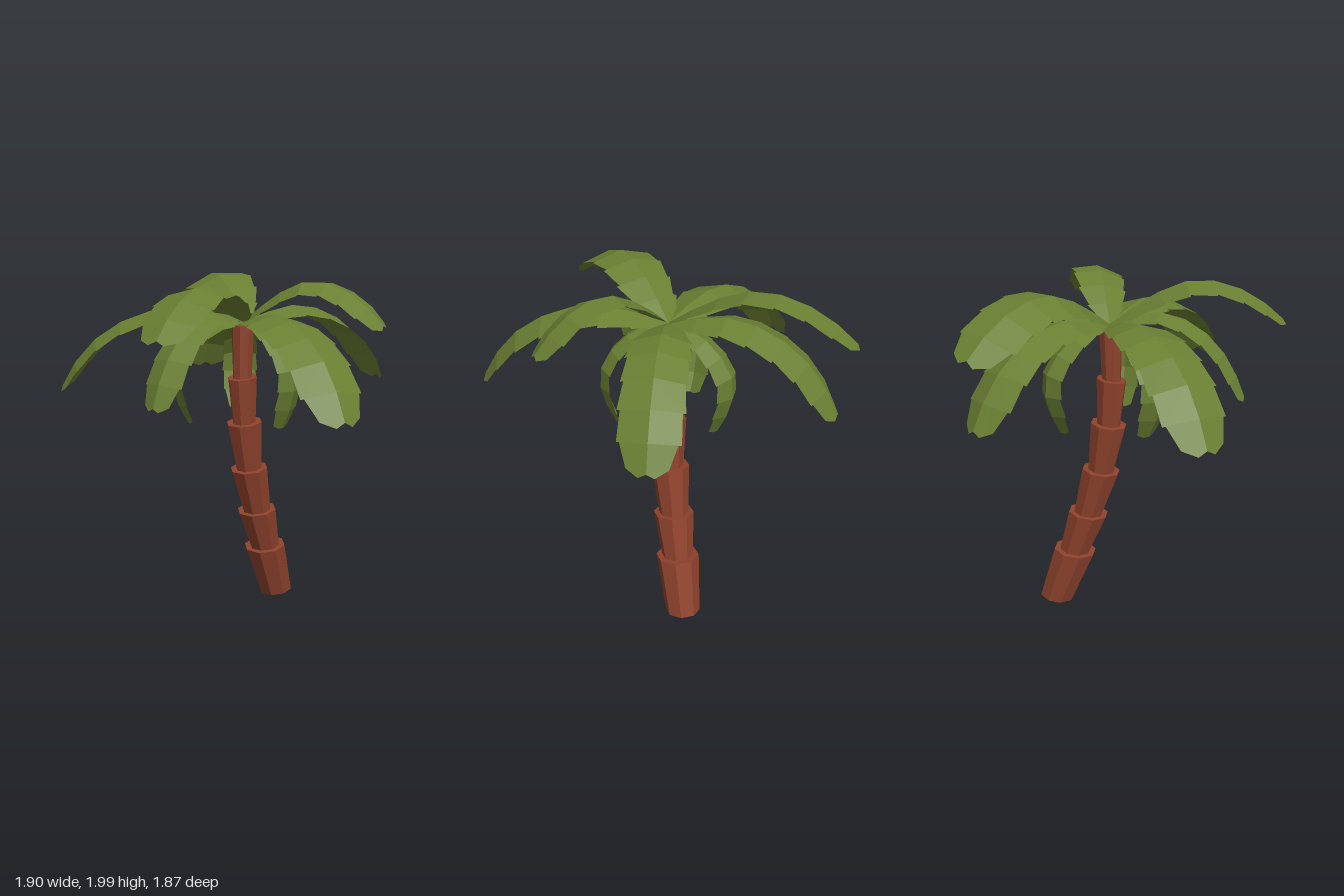
import * as THREE from 'three';

const CROWN_X = -0.04, CROWN_Z = -0.05;

const bark = new THREE.MeshStandardMaterial({ color: 0x8f432d, flatShading: true });
const leaf = new THREE.MeshStandardMaterial({ color: 0x6a7f32, flatShading: true, side: THREE.DoubleSide });

// Trunk ring centres [y, z], and [bottom, top] half widths of the section above each
const RINGS = [[0.015, -0.385], [0.345, -0.267], [0.6, -0.182], [0.88, -0.103], [1.17, -0.057], [1.44, -0.04], [1.75, -0.045]];
const RADII = [[0.095, 0.118], [0.085, 0.11], [0.08, 0.104], [0.072, 0.098], [0.064, 0.08], [0.052, 0.062]];

// Flared octagonal section, sheared so that its rings stay nearly level
function trunkSection(i) {
  const [y0, z0] = RINGS[i], [y1, z1] = RINGS[i + 1], [r0, r1] = RADII[i];
  const corner = 1 / Math.cos(Math.PI / 8);
  const geo = new THREE.CylinderGeometry(r1 * corner, r0 * corner, 1, 8);
  geo.rotateY(Math.PI / 8);
  const p = geo.attributes.position;
  for (let k = 0; k < p.count; k++) {
    const t = p.getY(k) + 0.5, z = p.getZ(k);
    p.setXYZ(k, p.getX(k) + CROWN_X, THREE.MathUtils.lerp(y0, y1, t) - 0.13 * z, THREE.MathUtils.lerp(z0, z1, t) + z);
  }
  geo.computeVertexNormals();
  const mesh = new THREE.Mesh(geo, bark);
  mesh.name = 'trunkSection' + (i + 1);
  return mesh;
}

// Spines as [fraction of reach, height]; half width and edge drop are fractions of reach
const TIERS = [
  {
    name: 'upperFrond', halfWidth: 0.178, drop: 0.046,
    spine: [[0, 1.76], [0.18, 1.885], [0.4, 1.99], [0.6, 1.993], [0.82, 1.905], [1, 1.76]],
    fronds: [[213.5, 1.05, -13], [-17, 0.83, 10], [78, 0.995, 0]], // [azimuth, reach, roll]
  },
  {
    name: 'middleFrond', halfWidth: 0.175, drop: 0.054,
    spine: [[0, 1.76], [0.17, 1.81], [0.36, 1.84], [0.56, 1.8], [0.76, 1.69], [0.9, 1.54], [1, 1.36]],
    fronds: [[24.5, 1.08, 0], [91, 0.77, 0], [145.5, 1.08, 0], [217, 0.98, 0], [-67, 0.97, 0]],
  },
  {
    name: 'lowerFrond', halfWidth: 0.28, drop: 0.1,
    spine: [[0, 1.75], [0.4, 1.75], [0.85, 1.65], [1.1, 1.5], [1.06, 1.34], [0.86, 1.175]],
    fronds: [[5, 0.35, 0], [131, 0.38, 0], [229, 0.38, 0]],
  },
];
const WIDTHS = [0.14, 0.7, 0.93, 1, 1, 1, 0.94, 0.62];

// Ridged leaf whose strips widen outward, leaving notches along both edges
function frond(tier, azimuth, reach, roll) {
  const a = THREE.MathUtils.degToRad(azimuth);
  const out = new THREE.Vector3(Math.cos(a), 0, Math.sin(a));
  const level = new THREE.Vector3(-Math.sin(a), 0, Math.cos(a));
  const root = new THREE.Vector3(CROWN_X, 0, CROWN_Z);
  const curve = new THREE.CatmullRomCurve3(tier.spine.map(([r, y]) =>
    root.clone().addScaledVector(out, r * reach).setY(y)));
  const strips = WIDTHS.length - 1;
  const positions = [];

  const station = (t, width, sign, shift = 0) => {
    const tangent = curve.getTangentAt(t);
    const side = level.clone().applyAxisAngle(tangent, THREE.MathUtils.degToRad(roll));
    const normal = new THREE.Vector3().crossVectors(tangent, side).negate();
    return curve.getPointAt(t)
      .addScaledVector(side, sign * width * tier.halfWidth * reach)
      .addScaledVector(normal, -width * tier.drop * reach)
      .addScaledVector(tangent, shift * reach);
  };

  for (const sign of [-1, 1]) {
    for (let i = 0; i < strips; i++) {
      const t0 = i / strips, t1 = (i + 1) / strips;
      const last = i === strips - 1;
      const ridge0 = curve.getPointAt(t0);
      const ridge1 = station(t1, 0, 0, last ? -0.02 : 0); // small notch at the tip
      const edge0 = station(t0, WIDTHS[i] * (i ? 0.92 : 1), sign);
      const edge1 = station(t1, WIDTHS[i + 1] * 1.02, sign, last ? -0.045 : 0);
      const faces = [ridge0, edge0, edge1, ridge0, edge1, ridge1];
      if (last) faces.push(ridge1, edge1, station(t1, WIDTHS[i + 1] * 0.4, sign)); // rounded lobe
      if (sign > 0) for (let k = 0; k < faces.length; k += 3) [faces[k + 1], faces[k + 2]] = [faces[k + 2], faces[k + 1]];
      for (const v of faces) positions.push(v.x, v.y, v.z);
    }
  }
  const geo = new THREE.BufferGeometry();
  geo.setAttribute('position', new THREE.Float32BufferAttribute(positions, 3));
  geo.computeVertexNormals();
  return new THREE.Mesh(geo, leaf);
}

export function createModel() {
  const model = new THREE.Group();
  model.name = 'palmTree';

  const trunk = new THREE.Group();
  trunk.name = 'trunk';
  RADII.forEach((_, i) => trunk.add(trunkSection(i)));

  const crown = new THREE.Group();
  crown.name = 'crown';
  for (const tier of TIERS) {
    tier.fronds.forEach(([azimuth, reach, roll], i) => {
      const mesh = frond(tier, azimuth, reach, roll);
      mesh.name = tier.name + (i + 1);
      crown.add(mesh);
    });
  }

  model.add(trunk, crown);
  return model;
}
